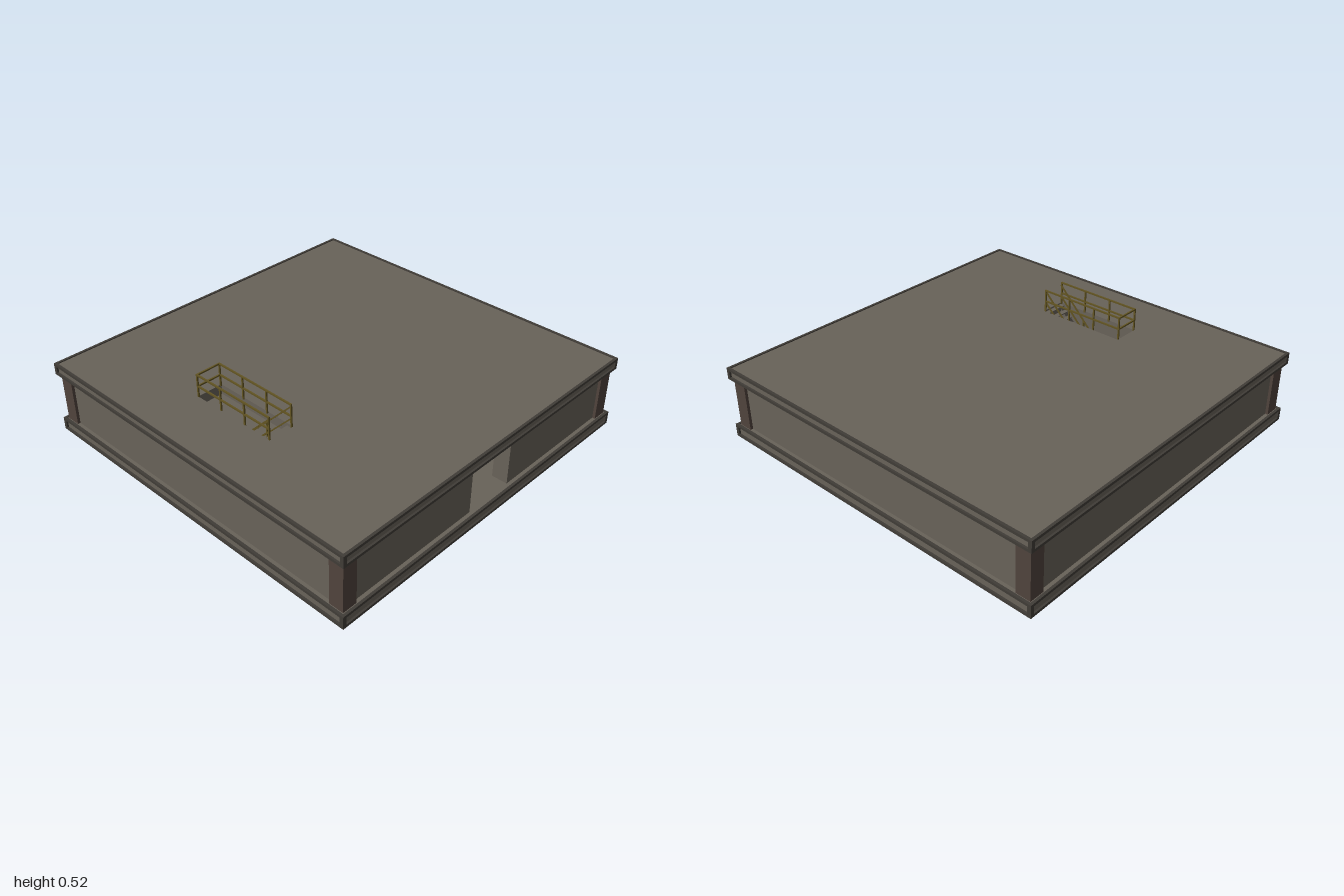
import * as THREE from 'three';

const mat = (name, color) => Object.assign(new THREE.MeshStandardMaterial({ color }), { name });

export function createModel() {
  const concrete = mat('concrete', 0x686259);
  const trim = mat('dark trim', 0x403c37);
  const pillarMat = mat('brown pillar', 0x50433c);
  const railMat = mat('ochre rail', 0x625422);
  const model = new THREE.Group();
  model.name = 'bunker';

  // Box given by its minimum and maximum corners
  function box(name, material, [x0, y0, z0], [x1, y1, z1], parent = model) {
    const mesh = new THREE.Mesh(new THREE.BoxGeometry(x1 - x0, y1 - y0, z1 - z0), material);
    mesh.position.set((x0 + x1) / 2, (y0 + y1) / 2, (z0 + z1) / 2);
    mesh.name = name;
    parent.add(mesh);
    return mesh;
  }

  // Square bar between two points in a plane of constant z or x
  function bar(name, material, a, b, size, parent, depth = size) {
    const p = new THREE.Vector3(...a), d = new THREE.Vector3(...b).sub(p);
    const mesh = new THREE.Mesh(new THREE.BoxGeometry(size, d.length(), depth), material);
    mesh.position.copy(p).addScaledVector(d, 0.5);
    mesh.quaternion.setFromUnitVectors(new THREE.Vector3(0, 1, 0), d.normalize());
    mesh.name = name;
    parent.add(mesh);
  }

  // Frame of dark bars around the edge of a slab
  function edgeFrame(name, y0, y1) {
    const group = new THREE.Group();
    group.name = name;
    const t = 0.014, inner = 1 - t;
    for (const [a, b] of [[y0, y0 + t], [y1 - t, y1]]) {
      for (const s of [-1, 1]) {
        const m = s * (1 - t / 2);
        box('frontBackEdge', trim, [-1, a, m - t / 2], [1, b, m + t / 2], group);
        box('sideEdge', trim, [m - t / 2, a, -inner], [m + t / 2, b, inner], group);
      }
    }
    for (const sx of [-1, 1]) for (const sz of [-1, 1]) {
      const x = sx * 0.99, z = sz * 0.99;
      box('cornerEdge', trim, [x - 0.01, y0 + t, z - 0.01], [x + 0.01, y1 - t, z + 0.01], group);
    }
    model.add(group);
  }

  // Base slab with a dark underside
  box('baseSlab', concrete, [-0.99, 0.008, -0.99], [0.99, 0.066, 0.99]);
  box('underside', trim, [-0.99, 0, -0.99], [0.99, 0.008, 0.99]);
  edgeFrame('baseFrame', 0, 0.07);

  // Roof slab with the stairwell opening
  const hx0 = -0.26, hx1 = 0.24, hz0 = 0.537, hz1 = 0.682;
  const roof = new THREE.Shape([[-0.99, -0.99], [0.99, -0.99], [0.99, 0.99], [-0.99, 0.99]]
    .map(p => new THREE.Vector2(...p)));
  roof.holes.push(new THREE.Path([[hx0, -hz1], [hx0, -hz0], [hx1, -hz0], [hx1, -hz1]]
    .map(p => new THREE.Vector2(...p))));
  const roofGeo = new THREE.ExtrudeGeometry(roof, { depth: 0.055, bevelEnabled: false });
  roofGeo.rotateX(-Math.PI / 2);
  const roofMesh = new THREE.Mesh(roofGeo, concrete);
  roofMesh.position.y = 0.34;
  roofMesh.name = 'roofSlab';
  model.add(roofMesh);
  edgeFrame('roofFrame', 0.337, 0.4);

  // Corner pillars
  for (const sx of [-1, 1]) for (const sz of [-1, 1]) {
    const x = sx * 0.94, z = sz * 0.94;
    box('cornerPillar', pillarMat, [x - 0.04, 0.066, z - 0.04], [x + 0.04, 0.34, z + 0.04]);
  }

  // Walls, with a doorway in the left side
  const y0 = 0.066, y1 = 0.34, outer = 0.965, inn = 0.88;
  box('frontWall', concrete, [-0.9, y0, inn], [0.9, y1, outer]);
  box('backWall', concrete, [-0.9, y0, -outer], [0.9, y1, -inn]);
  box('rightWall', concrete, [-outer, y0, -0.9], [-inn, y1, 0.9]);
  box('leftWallFront', concrete, [inn, y0, 0.13], [outer, y1, 0.9]);
  box('leftWallBack', concrete, [inn, y0, -0.9], [outer, y1, -0.155]);

  // Open stairs descending toward the right
  const stairs = new THREE.Group();
  stairs.name = 'stairs';
  model.add(stairs);
  const steps = 12, rise = 0.325 / steps;
  for (let i = 0; i < steps; i++) {
    const x = 0.235 - i * rise, y = 0.39 - i * rise;
    box('tread', concrete, [x - 0.026, y - 0.006, 0.545], [x, y, 0.673], stairs);
  }
  for (const z of [0.543, 0.675]) {
    bar('stringer', trim, [0.235, 0.38, z], [-0.085, 0.07, z], 0.022, stairs, 0.006);
  }

  // Guard rail around three sides of the stairwell
  const rails = new THREE.Group();
  rails.name = 'guardRail';
  model.add(rails);
  const rx0 = -0.258, rx1 = 0.236, rz0 = 0.543, rz1 = 0.68, r = 0.008;
  for (const z of [rz0, rz1]) {
    for (let i = 0; i < 4; i++) {
      const x = rx0 + (rx1 - rx0) * i / 3;
      bar('post', railMat, [x, 0.39, z], [x, 0.516, z], r, rails);
    }
    for (const y of [0.454, 0.517]) {
      bar('sideRail', railMat, [rx0 - r / 2, y, z], [rx1 + r / 2, y, z], r, rails);
    }
    // Sloping hand rails beside the steps
    const zi = z === rz0 ? z + 0.004 : z - 0.008;
    for (const h of [0.27, 0.205]) {
      bar('stairRail', railMat, [rx1, rx1 + h, zi], [-0.085, h - 0.085, zi], 0.007, rails);
    }
    bar('stairFootPost', railMat, [-0.085, 0.066, zi], [-0.085, 0.188, zi], 0.007, rails);
    bar('stairMiddlePost', railMat, [0.07, 0.225, zi], [0.07, 0.34, zi], 0.007, rails);
  }
  for (const y of [0.454, 0.517]) {
    bar('endRail', railMat, [rx0, y, rz0], [rx0, y, rz1], r, rails);
  }
  return model;
}
